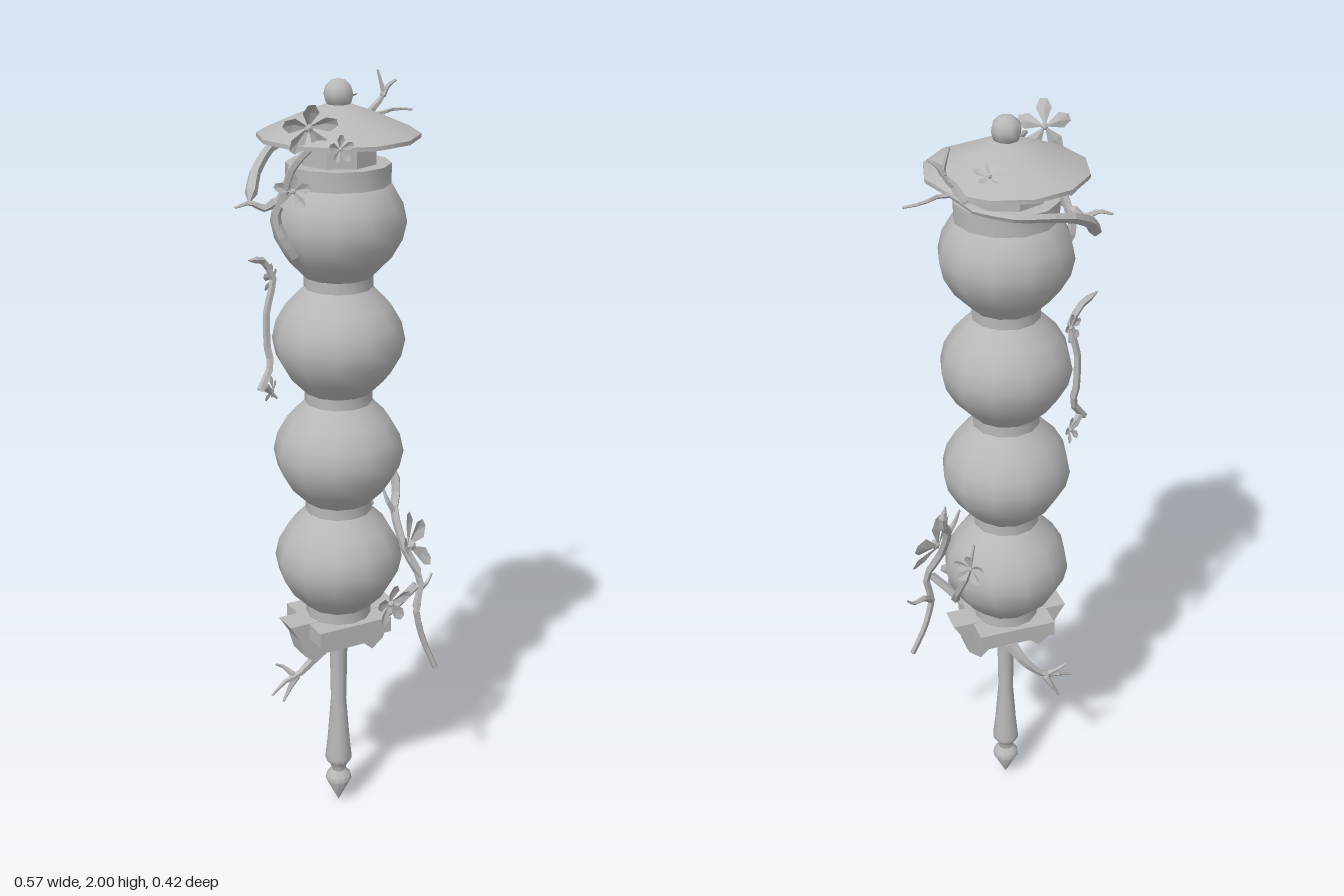
import * as THREE from 'three';
import { toCreasedNormals } from 'three/addons/utils/BufferGeometryUtils.js';

const AX = -0.012, AZ = 0.014; // axis of the stacked column
const V = (p) => new THREE.Vector3(...p);

export function createModel() {
  const model = new THREE.Group();
  const grey = new THREE.MeshStandardMaterial({ color: 0xb8b8b8, side: THREE.DoubleSide });

  function add(name, geometry, x = AX, y = 0, z = AZ) {
    const mesh = new THREE.Mesh(geometry, grey);
    mesh.name = name;
    mesh.position.set(x, y, z);
    model.add(mesh);
    return mesh;
  }

  // Turned part from [radius, height] pairs, listed bottom to top
  function turned(name, profile, y = 0, crease = 0.6, sides = 12) {
    const g = new THREE.LatheGeometry(profile.map((p) => new THREE.Vector2(...p)), sides);
    return add(name, toCreasedNormals(g, crease), AX, y);
  }

  // Tapered, faceted twig along a bent path
  function twig(name, points, r0 = 0.016, r1 = 0.003) {
    const curve = new THREE.CatmullRomCurve3(points.map(V), false, 'catmullrom', 0.25);
    const n = points.length * 2, sides = 5;
    const g = new THREE.TubeGeometry(curve, n, 1, sides);
    const pos = g.attributes.position, v = new THREE.Vector3();
    for (let i = 0; i <= n; i++) {
      const c = curve.getPointAt(i / n);
      const r = i === 0 ? 0.002 : THREE.MathUtils.lerp(r0, r1, i / n);
      for (let j = 0; j <= sides; j++) {
        const k = i * (sides + 1) + j;
        v.fromBufferAttribute(pos, k).sub(c).multiplyScalar(r).add(c);
        pos.setXYZ(k, v.x, v.y, v.z);
      }
    }
    const flat = g.toNonIndexed();
    flat.computeVertexNormals();
    return add(name, flat, 0, 0, 0);
  }

  // Cupped five-petal blossom facing along a direction
  function blossom(name, at, facing, radius) {
    const verts = [];
    const pt = (a, r, h) => [Math.sin(a) * r * radius, Math.cos(a) * r * radius, h * radius];
    for (let i = 0; i < 5; i++) {
      const a = (i * Math.PI * 2) / 5;
      const base = pt(a, 0, 0), left = pt(a - 0.42, 0.72, 0.25), right = pt(a + 0.42, 0.72, 0.25);
      const mid = pt(a, 0.6, 0.12), tipL = pt(a - 0.13, 1, 0.3), tipR = pt(a + 0.13, 1, 0.3);
      for (const [p, q, s] of [[base, mid, left], [base, right, mid], [left, mid, tipL],
        [mid, tipR, tipL], [mid, right, tipR]]) verts.push(...p, ...q, ...s);
    }
    const g = new THREE.BufferGeometry();
    g.setAttribute('position', new THREE.Float32BufferAttribute(verts, 3));
    g.computeVertexNormals();
    const petals = add(name, g, ...at);
    petals.lookAt(V(at).add(V(facing)));
    const heart = new THREE.Mesh(new THREE.IcosahedronGeometry(radius * 0.16, 0), grey);
    heart.name = name + 'Heart';
    heart.position.z = radius * 0.1;
    petals.add(heart);
  }

  // Spike and handle rod
  turned('spike', [[0, 0.003], [0.036, 0.075], [0.034, 0.088], [0.02, 0.105], [0.022, 0.12],
    [0.036, 0.14], [0.036, 0.152], [0.03, 0.21], [0.021, 0.33], [0.024, 0.5]]);

  // Scrolled bracket under the lanterns
  const half = [[0.16, 0.6], [0.132, 0.555], [0.118, 0.505], [0.085, 0.478], [0.06, 0.5]];
  const outline = [...half, ...half.map(([x, y]) => [-x, y]).reverse()];
  const bracket = new THREE.ExtrudeGeometry(
    new THREE.Shape(outline.map((p) => new THREE.Vector2(...p))), { depth: 0.07, bevelEnabled: false });
  bracket.translate(0, 0, -0.035);
  add('bracket', bracket);
  add('bracketSlab', new THREE.BoxGeometry(0.21, 0.042, 0.2), AX, 0.578);

  // Four globes with necks beneath them
  for (let i = 0; i < 4; i++) {
    const y = 0.764 + i * 0.2985;
    turned('globe', [[0.084, -0.137], [0.131, -0.09], [0.157, -0.045], [0.167, 0],
      [0.157, 0.045], [0.131, 0.09], [0.084, 0.137]], y, 0.9);
    turned('neck', [[0.086, -0.17], [0.086, -0.13]], y);
  }

  // Collar, drum, roof and finial
  turned('collar', [[0.08, 1.753], [0.128, 1.753], [0.128, 1.802], [0.08, 1.802]]);
  turned('drum', [[0.095, 1.8], [0.095, 1.872]], 0, 0.2, 8);
  turned('roof', [[0, 1.878], [0.1, 1.876], [0.197, 1.862], [0.197, 1.872], [0.105, 1.912],
    [0.03, 1.94], [0, 1.942]]);
  add('finial', new THREE.SphereGeometry(0.037, 8, 6), AX, 1.963);

  // Twigs around the roof
  twig('roofTwig', [[-0.215, 1.71, -0.06], [-0.17, 1.77, -0.12], [-0.11, 1.81, -0.17],
    [-0.04, 1.83, -0.195], [0.04, 1.84, -0.198], [0.12, 1.85, -0.15], [0.16, 1.88, -0.12],
    [0.2, 1.885, -0.125], [0.235, 1.885, -0.15], [0.283, 1.88, -0.147]], 0.017);
  twig('roofTwigFork', [[0.13, 1.85, -0.14], [0.155, 1.9, -0.115], [0.18, 1.93, -0.11], [0.165, 1.99, -0.115]], 0.013);
  twig('roofTwigTip', [[0.172, 1.92, -0.11], [0.19, 1.95, -0.11], [0.212, 1.965, -0.105]], 0.01);
  twig('sideTwig', [[-0.13, 1.57, 0.05], [-0.17, 1.63, 0.05], [-0.195, 1.69, 0.04], [-0.18, 1.75, 0.06],
    [-0.17, 1.82, 0.09], [-0.13, 1.88, 0.13]], 0.014, 0.009);
  twig('sideTwigFork', [[-0.185, 1.74, 0.05], [-0.215, 1.715, 0.03], [-0.25, 1.73, 0.02], [-0.285, 1.72, 0.013]], 0.013);

  // Twig beside the middle globes
  twig('middleTwig', [[-0.215, 1.565, -0.07], [-0.16, 1.55, -0.1], [-0.135, 1.5, -0.1], [-0.155, 1.42, -0.1],
    [-0.155, 1.33, -0.1], [-0.15, 1.28, -0.09], [-0.19, 1.225, -0.07]], 0.009, 0.01);
  twig('middleTwigFork', [[-0.18, 1.24, -0.075], [-0.155, 1.21, -0.09], [-0.135, 1.19, -0.09]], 0.012);

  // Twigs beside the lowest globe
  twig('lowerTwig', [[0.158, 0.98, 0], [0.165, 0.92, 0.01], [0.14, 0.87, 0.04], [0.15, 0.77, 0.085],
    [0.185, 0.69, 0.11], [0.168, 0.6, 0.12], [0.19, 0.51, 0.12], [0.225, 0.42, 0.13]], 0.013, 0.008);
  twig('lowerTwigFork', [[0.165, 0.6, 0.12], [0.2, 0.64, 0.08], [0.235, 0.645, 0.06], [0.255, 0.665, 0.05]], 0.013);
  twig('lowerTwigFork', [[0.06, 0.56, 0.07], [0.11, 0.62, 0.1], [0.165, 0.68, 0.12]], 0.013, 0.012);
  twig('lowerTwigFork', [[0.145, 0.86, 0.04], [0.12, 0.9, 0.04], [0.11, 0.94, 0.03]], 0.01);
  twig('lowerBackTwig', [[0.13, 0.66, 0.02], [0.15, 0.74, -0.06], [0.135, 0.83, -0.11], [0.12, 0.93, -0.12]], 0.014);

  // Twig under the bracket
  twig('handleTwig', [[-0.005, 0.52, 0], [-0.045, 0.45, -0.04], [-0.1, 0.395, -0.05], [-0.14, 0.385, -0.05],
    [-0.19, 0.36, -0.035]], 0.02);
  twig('handleTwigFork', [[-0.1, 0.4, -0.05], [-0.12, 0.36, -0.06], [-0.145, 0.315, -0.06]], 0.012);
  twig('handleTwigFork', [[-0.11, 0.39, -0.05], [-0.14, 0.42, -0.07], [-0.16, 0.43, -0.07]], 0.01);

  // Blossoms
  blossom('roofBlossom', [-0.15, 1.915, 0.13], [-0.25, -0.35, 1], 0.066);
  blossom('smallRoofBlossom', [-0.1, 1.87, 0.19], [0, 0.1, 1], 0.033);
  blossom('backRoofBlossom', [0.08, 1.92, -0.14], [0.1, 1, -0.35], 0.038);
  blossom('sideBlossom', [-0.165, 1.76, 0.08], [-0.6, 0, 0.8], 0.045);
  blossom('middleBlossom', [-0.13, 1.5, -0.11], [-0.6, 0.1, -0.8], 0.036);
  blossom('middleBlossom', [-0.14, 1.21, -0.1], [-0.6, 0.1, -0.8], 0.034);
  blossom('lowerBlossom', [0.15, 0.79, 0.1], [0.65, 0.3, 0.7], 0.09);
  blossom('lowerFrontBlossom', [0.07, 0.66, 0.145], [0.25, -0.1, 1], 0.06);
  blossom('lowerBackBlossom', [0.13, 0.86, -0.12], [0.7, 0, -0.7], 0.045);

  return model;
}
